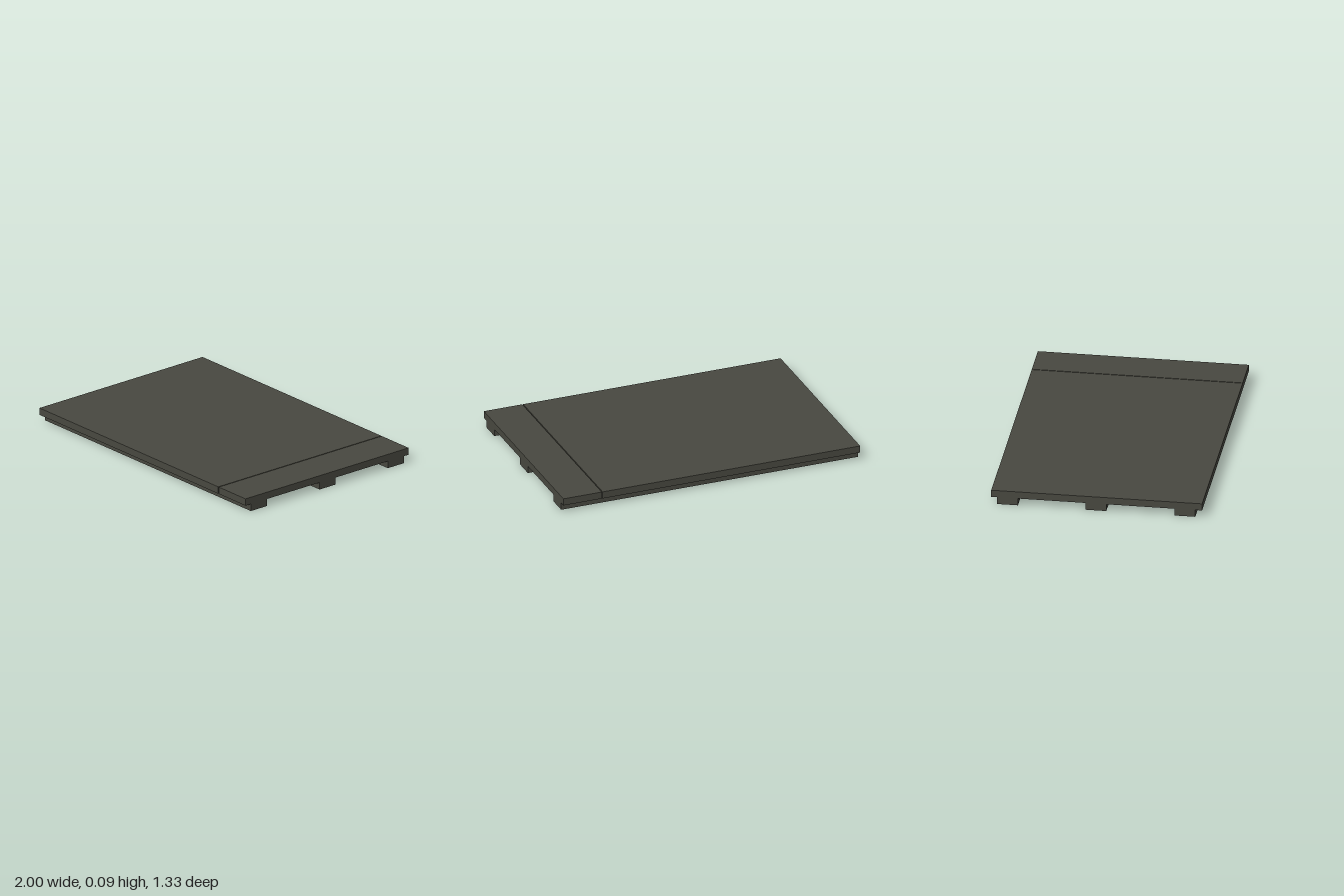
import * as THREE from 'three';

export function createModel() {
  const model = new THREE.Group();
  model.name = 'pallet';
  const wood = new THREE.MeshStandardMaterial({ color: 0x484840 });
  wood.name = 'dark weathered wood';

  const height = 0.093, runnerTop = 0.047, depth = 1.333;

  function board(name, x0, x1, y0, y1, z0, z1) {
    const mesh = new THREE.Mesh(new THREE.BoxGeometry(x1 - x0, y1 - y0, z1 - z0), wood);
    mesh.position.set((x0 + x1) / 2, (y0 + y1) / 2, (z0 + z1) / 2);
    mesh.name = name;
    model.add(mesh);
  }

  // Three long runners under the deck
  [0.557, -0.005, -0.563].forEach((z, i) =>
    board(`runner${i + 1}`, -1, 1, 0, runnerTop, z - 0.066, z + 0.066));

  // Deck planks butted together, with one narrow gap between the two runs
  function deck(name, x0, x1, count) {
    const w = (x1 - x0) / count;
    for (let i = 0; i < count; i++) {
      board(`${name}${i + 1}`, x0 + i * w, x0 + (i + 1) * w, runnerTop, height, -depth / 2, depth / 2);
    }
  }
  deck('mainPlank', -1, 0.735, 13);
  deck('endPlank', 0.741, 1, 2);

  return model;
}
